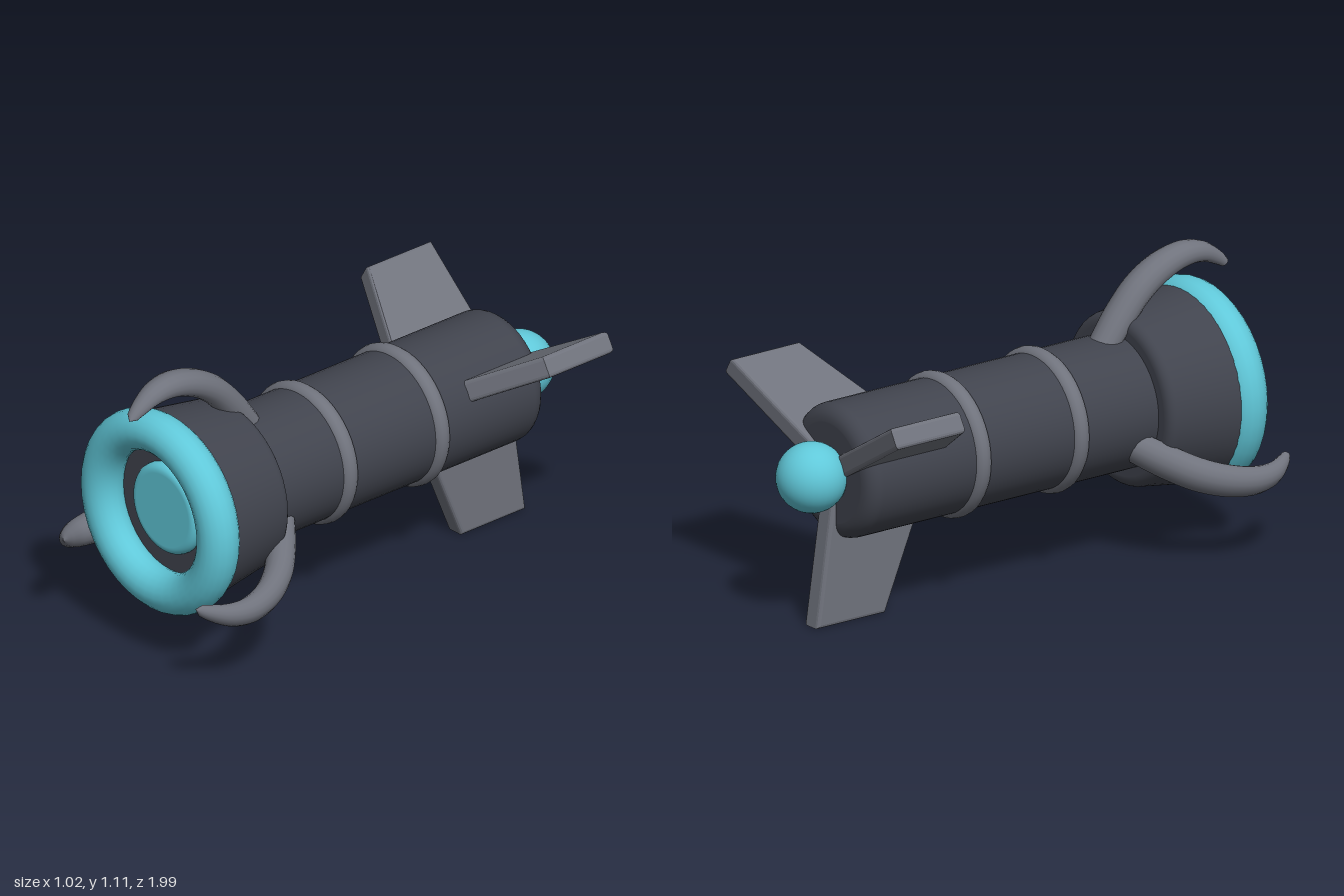
import * as THREE from 'three';

const AXIS_Y = 0.57; // height of the long axis

function paint(name, color) {
  const m = new THREE.MeshStandardMaterial({ color });
  m.name = name;
  return m;
}

// Solid of revolution about z, with rounded rims. Each end is [radius, z, bevel].
function drum([r0, z0, b0], [r1, z1, b1], segments = 48) {
  const pts = [new THREE.Vector2(0, z0), new THREE.Vector2(r0 - b0 - 0.004, z0)];
  const steps = 6;
  for (let i = 0; i <= steps; i++) {
    const a = (i / steps) * Math.PI / 2;
    pts.push(new THREE.Vector2(r0 - b0 + b0 * Math.sin(a), z0 + b0 - b0 * Math.cos(a)));
  }
  for (let i = 0; i <= steps; i++) {
    const a = (i / steps) * Math.PI / 2;
    pts.push(new THREE.Vector2(r1 - b1 + b1 * Math.cos(a), z1 - b1 + b1 * Math.sin(a)));
  }
  pts.push(new THREE.Vector2(r1 - b1 - 0.004, z1), new THREE.Vector2(0, z1));
  return new THREE.LatheGeometry(pts, segments).rotateX(Math.PI / 2);
}

// Swept fin pointing up, drawn as (z, radius) and extruded across x
function finGeometry() {
  const b = 0.014;
  const s = new THREE.Shape();
  s.moveTo(-0.37 - b, 0.1);
  s.lineTo(-0.575, 0.57 - b);
  s.lineTo(-0.872 + b, 0.57 - b);
  s.lineTo(-0.805 + b, 0.1);
  s.closePath();
  const depth = 0.08 - 2 * b;
  const g = new THREE.ExtrudeGeometry(s, {
    depth, bevelEnabled: true, bevelSize: b, bevelThickness: b, bevelSegments: 3,
  });
  return g.translate(0, 0, -depth / 2).rotateY(-Math.PI / 2);
}

// Curved claw: a tapering tube, wider across x than it is thick
function clawGeometry() {
  const path = [
    [0.37, 0.13], [0.43, 0.21], [0.51, 0.315], [0.6, 0.41], [0.7, 0.47],
    [0.8, 0.495], [0.88, 0.485], [0.95, 0.447], [0.993, 0.412],
  ];
  const widths = [0.055, 0.064, 0.069, 0.069, 0.066, 0.06, 0.05, 0.034, 0.018];
  const curve = new THREE.CatmullRomCurve3(path.map(([z, r]) => new THREE.Vector3(0, r, z)));
  const rings = 40, sides = 16;
  const g = new THREE.TubeGeometry(curve, rings, 1, sides, false);
  const pos = g.attributes.position;
  const v = new THREE.Vector3();
  for (let i = 0; i <= rings; i++) {
    const u = i / rings;
    const c = curve.getPointAt(u);
    const t = curve.getUtoTmapping(u) * (widths.length - 1);
    const k = Math.min(Math.floor(t), widths.length - 2);
    let w = THREE.MathUtils.lerp(widths[k], widths[k + 1], t - k);
    if (i === rings) w = 0.0005; // closed tip
    for (let j = 0; j <= sides; j++) {
      const n = i * (sides + 1) + j;
      v.fromBufferAttribute(pos, n).sub(c);
      pos.setXYZ(n, c.x + v.x * w, c.y + v.y * w * 0.76, c.z + v.z * w * 0.76);
    }
  }
  return g;
}

export function createModel() {
  const dark = paint('charcoal', 0x41444e);
  const grey = paint('steel grey', 0x70737d);
  const teal = paint('turquoise', 0x60c8d9);

  const model = new THREE.Group();
  model.name = 'rocketTorch';
  const add = (name, geometry, material, z = 0) => {
    const mesh = new THREE.Mesh(geometry, material);
    mesh.name = name;
    mesh.position.set(0, AXIS_Y, z);
    model.add(mesh);
    return mesh;
  };

  // Barrel and flared head
  add('body', drum([0.25, -0.79, 0.06], [0.25, 0.535, 0.04]), dark);
  add('head', drum([0.325, 0.5, 0.04], [0.363, 0.8, 0.008]), dark);

  // Front rim and lens
  add('rim', new THREE.TorusGeometry(0.3125, 0.0775, 20, 40), teal, 0.845);
  add('lens', drum([0.175, 0.76, 0.005], [0.175, 0.835, 0.03]), teal);

  // Bands around the barrel
  for (const z of [0.155, -0.285]) {
    add('band', new THREE.TorusGeometry(0.235, 0.036, 16, 48), grey, z);
  }

  // Tail ball
  add('tailBall', new THREE.SphereGeometry(0.13, 32, 24), teal, -0.87);

  // Three tail fins and three front claws, alternating round the axis
  const fin = finGeometry();
  const claw = clawGeometry();
  for (let i = 0; i < 3; i++) {
    const turn = (i * 2 * Math.PI) / 3;
    add('fin', fin, grey).rotation.z = Math.PI + turn;
    add('claw', claw, grey).rotation.z = turn;
  }
  return model;
}
